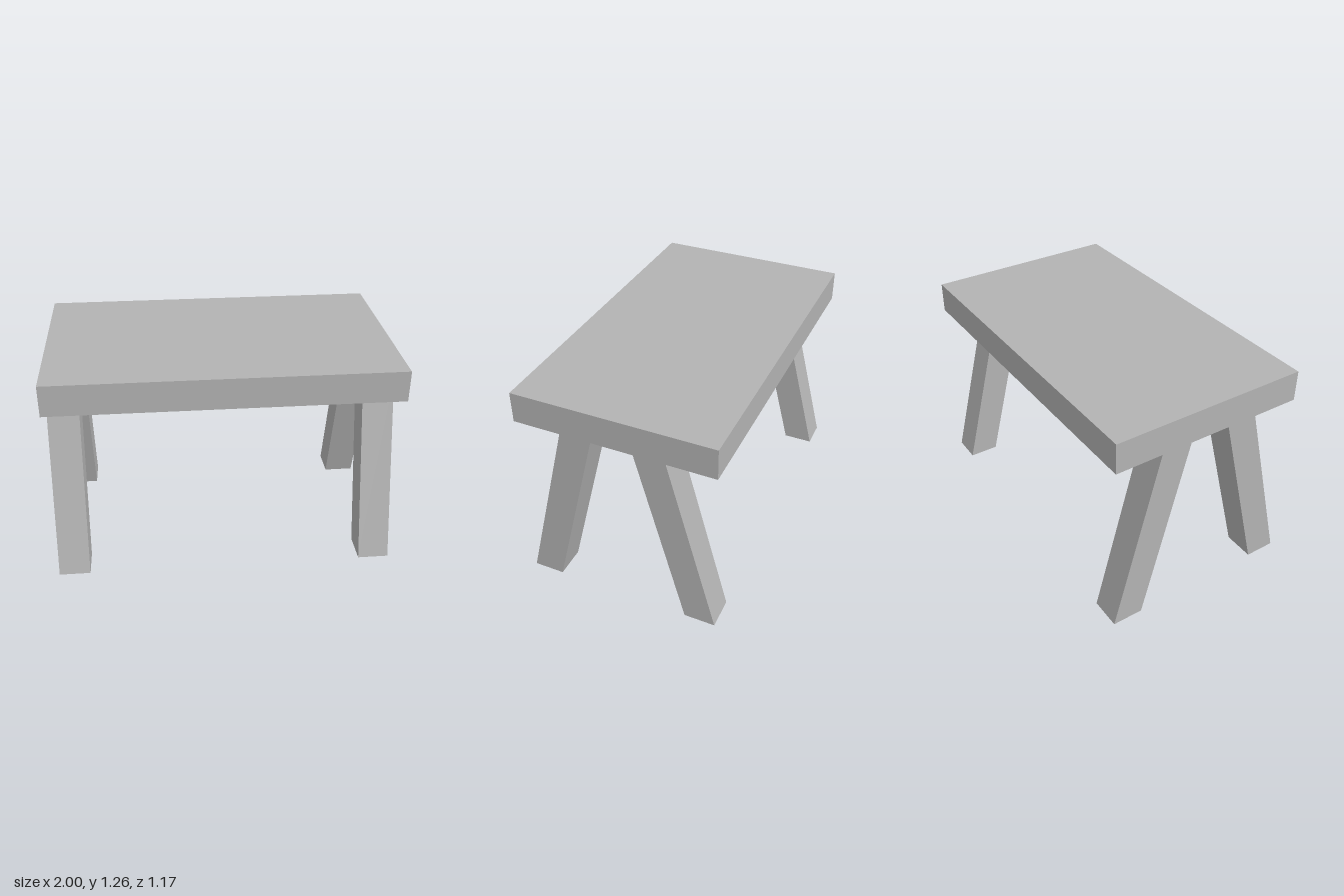
import * as THREE from 'three';

const TOP = 1.265, UNDER = 1.083, DEPTH = 1.17;
const LEG = 0.183, SPLAY = 0.28;

export function createModel() {
  const model = new THREE.Group();
  model.name = 'table';
  const grey = new THREE.MeshStandardMaterial({ color: 0xb3b3b3 });
  grey.name = 'plain grey';

  // Thick slab top
  const top = new THREE.Mesh(new THREE.BoxGeometry(2, TOP - UNDER, DEPTH), grey);
  top.name = 'tableTop';
  top.position.y = (TOP + UNDER) / 2;
  model.add(top);

  // Square legs, sheared so the feet splay out to the front and back edges
  const addLeg = (sx, sz) => {
    const geometry = new THREE.BoxGeometry(LEG, UNDER, LEG);
    geometry.translate(0, UNDER / 2, 0);
    const p = geometry.attributes.position;
    for (let i = 0; i < p.count; i++) {
      p.setZ(i, p.getZ(i) - sz * SPLAY * p.getY(i) / UNDER);
    }
    geometry.computeVertexNormals();
    const leg = new THREE.Mesh(geometry, grey);
    leg.name = (sz > 0 ? 'front' : 'back') + (sx > 0 ? 'Left' : 'Right') + 'Leg';
    leg.position.set(sx * (1 - LEG / 2), 0, sz * (DEPTH - LEG) / 2);
    model.add(leg);
  };
  for (const sx of [-1, 1]) for (const sz of [-1, 1]) addLeg(sx, sz);

  return model;
}
